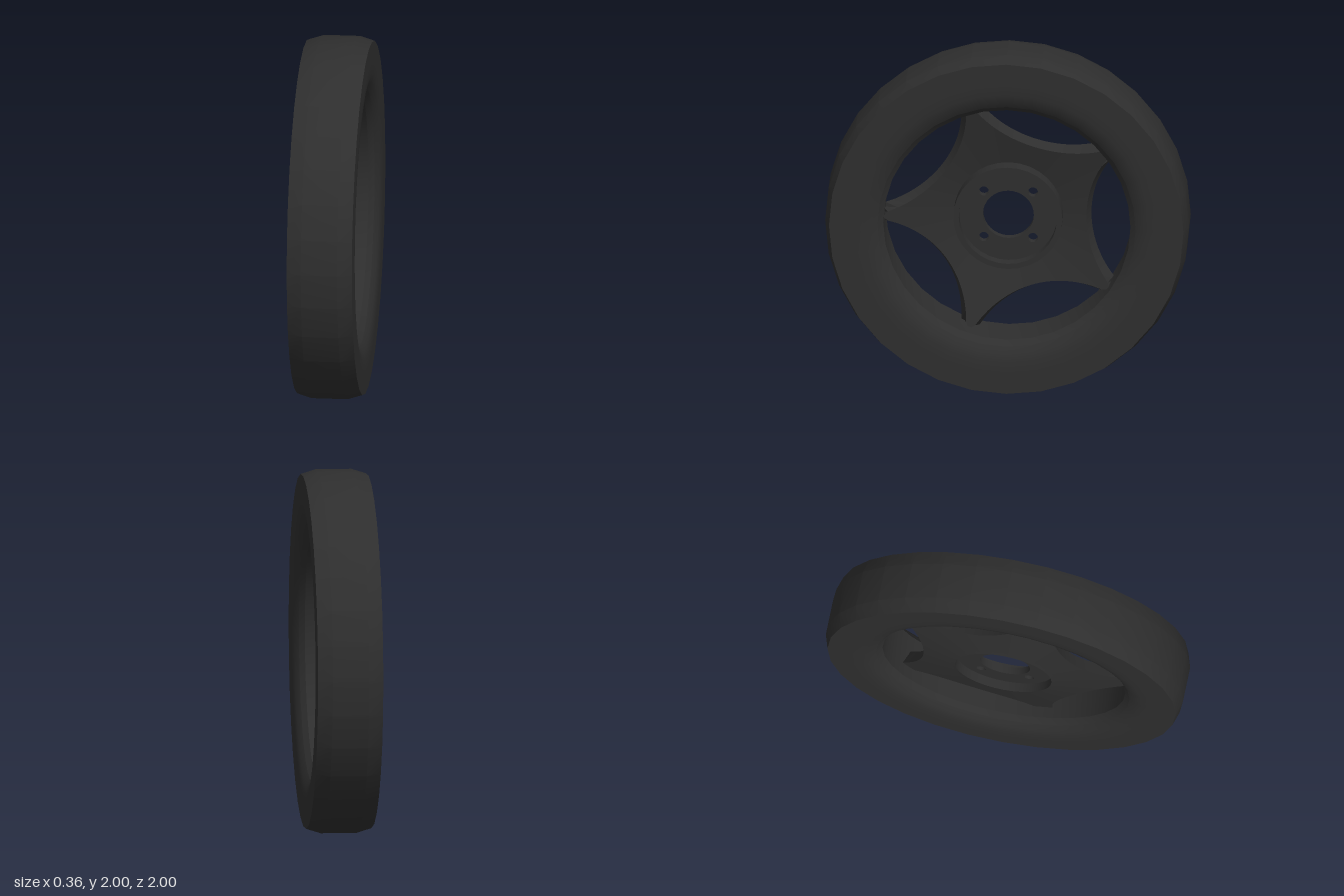
import * as THREE from 'three';
import { toCreasedNormals } from 'three/addons/utils/BufferGeometryUtils.js';

const dark = new THREE.MeshStandardMaterial({ color: 0x2e2e2e });

function part(name, geometry, crease = 0.5) {
  const mesh = new THREE.Mesh(toCreasedNormals(geometry, crease), dark);
  mesh.name = name;
  return mesh;
}

// Lathe around the x axle; each profile point is [radius, x]
function turned(profile, segments) {
  const points = profile.map(([r, x]) => new THREE.Vector2(r, x));
  return new THREE.LatheGeometry(points, segments).rotateZ(-Math.PI / 2);
}

// Distance from the axle to a circular window edge (circle of radius rho, centre at d)
function windowEdge(angle, d, rho) {
  const step = (Math.PI * 2) / 5;
  const a = THREE.MathUtils.euclideanModulo(angle, step) - step / 2;
  const root = rho * rho - (d * Math.sin(a)) ** 2;
  return root <= 0 ? 0.69 : Math.min(0.69, d * Math.cos(a) - Math.sqrt(root));
}

// Dished five-pointed plate: a lathe whose outer points follow the window edges
function starPlate() {
  const frontX = (r) => -0.06 + (r - 0.3) * 0.23;
  const backX = (r) => -0.13 + (r - 0.27) * 0.19;
  const geo = turned([[0.28, -0.128], [0.69, -0.05], [0.69, 0.03], [0.28, -0.065], [0.28, -0.128]], 160);
  const p = geo.attributes.position;
  for (let i = 0; i < p.count; i++) {
    const y = p.getY(i), z = p.getZ(i);
    if (Math.hypot(y, z) < 0.5) continue;
    const a = Math.atan2(y, z), front = p.getX(i) > 0;
    const r = front ? windowEdge(a, 1.054, 0.624) : windowEdge(a, 1.02, 0.566);
    p.setXYZ(i, front ? frontX(r) : backX(r), r * Math.sin(a), r * Math.cos(a));
  }
  return geo;
}

// Hub disc with axle hole and four bolt holes
function hubDisc() {
  const shape = new THREE.Shape().absarc(0, 0, 0.275, 0, Math.PI * 2);
  const hole = (x, y, r) => shape.holes.push(new THREE.Path().absarc(x, y, r, 0, Math.PI * 2, true));
  hole(0, 0, 0.14);
  for (const x of [-0.135, 0.135]) for (const y of [-0.135, 0.135]) hole(x, y, 0.027);
  return new THREE.ExtrudeGeometry(shape, { depth: 0.04, bevelEnabled: false, curveSegments: 16 })
    .rotateY(Math.PI / 2).translate(-0.08, 0, 0);
}

export function createModel() {
  const wheel = new THREE.Group();
  wheel.name = 'wheel';

  // Tyre: flat tread, chamfered shoulders, rounded inner sidewall
  const half = [[1, 0.1], [0.975, 0.18], [0.85, 0.18], [0.79, 0.178], [0.745, 0.167], [0.71, 0.145]];
  const mirrored = half.map(([r, x]) => [r, -x]).reverse();
  wheel.add(part('tyre', turned([...mirrored, ...half], 32), 0.35));

  // Rim: inner barrel with a small sloped lip on each side
  wheel.add(part('rim', turned([[0.71, 0.145], [0.68, 0.115], [0.68, -0.115], [0.71, -0.145]], 32), 0.4));

  wheel.add(part('starPlate', starPlate(), 0.4));
  wheel.add(part('hubCollar', turned([[0.27, -0.131], [0.3, -0.124], [0.3, 0.02], [0.27, 0.02], [0.27, -0.131]], 32), 0.4));
  wheel.add(part('hubDisc', hubDisc()));

  wheel.position.y = 1;
  const model = new THREE.Group();
  model.name = 'wheelModel';
  model.add(wheel);
  return model;
}
